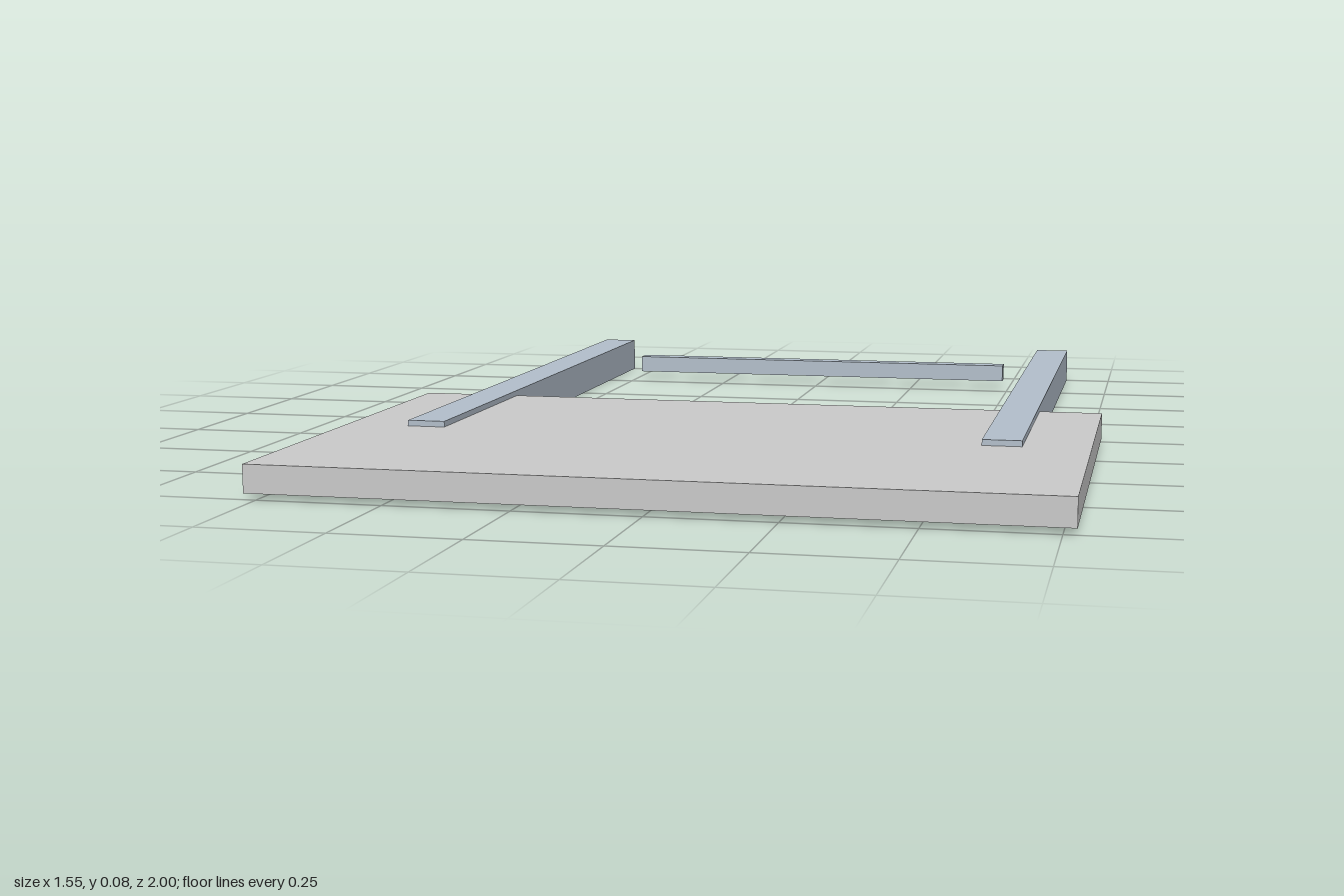
import * as THREE from 'three';

export function createModel() {
  const model = new THREE.Group();
  const grey = new THREE.MeshStandardMaterial({ color: 0xcccccc });
  const steel = new THREE.MeshStandardMaterial({ color: 0xb4c0cc });

  // Box given by its size and centre
  const addBox = (name, material, [w, h, d], [x, y, z]) => {
    const mesh = new THREE.Mesh(new THREE.BoxGeometry(w, h, d), material);
    mesh.name = name;
    mesh.position.set(x, y, z);
    model.add(mesh);
  };

  const midY = 0.04;

  // Flat platform at the front
  addBox('platform', grey, [1.55, 0.056, 0.97], [0, midY, 0.515]);

  // Two rails running through the platform to the back
  for (const side of [-1, 1]) {
    addBox(side > 0 ? 'leftRail' : 'rightRail', steel, [0.08, 0.08, 1.505], [side * 0.6, midY, -0.2475]);
  }

  // Thin crossbar between the rails, free at both ends
  addBox('crossbar', steel, [0.97, 0.04, 0.04], [0, midY, -0.82]);

  return model;
}
